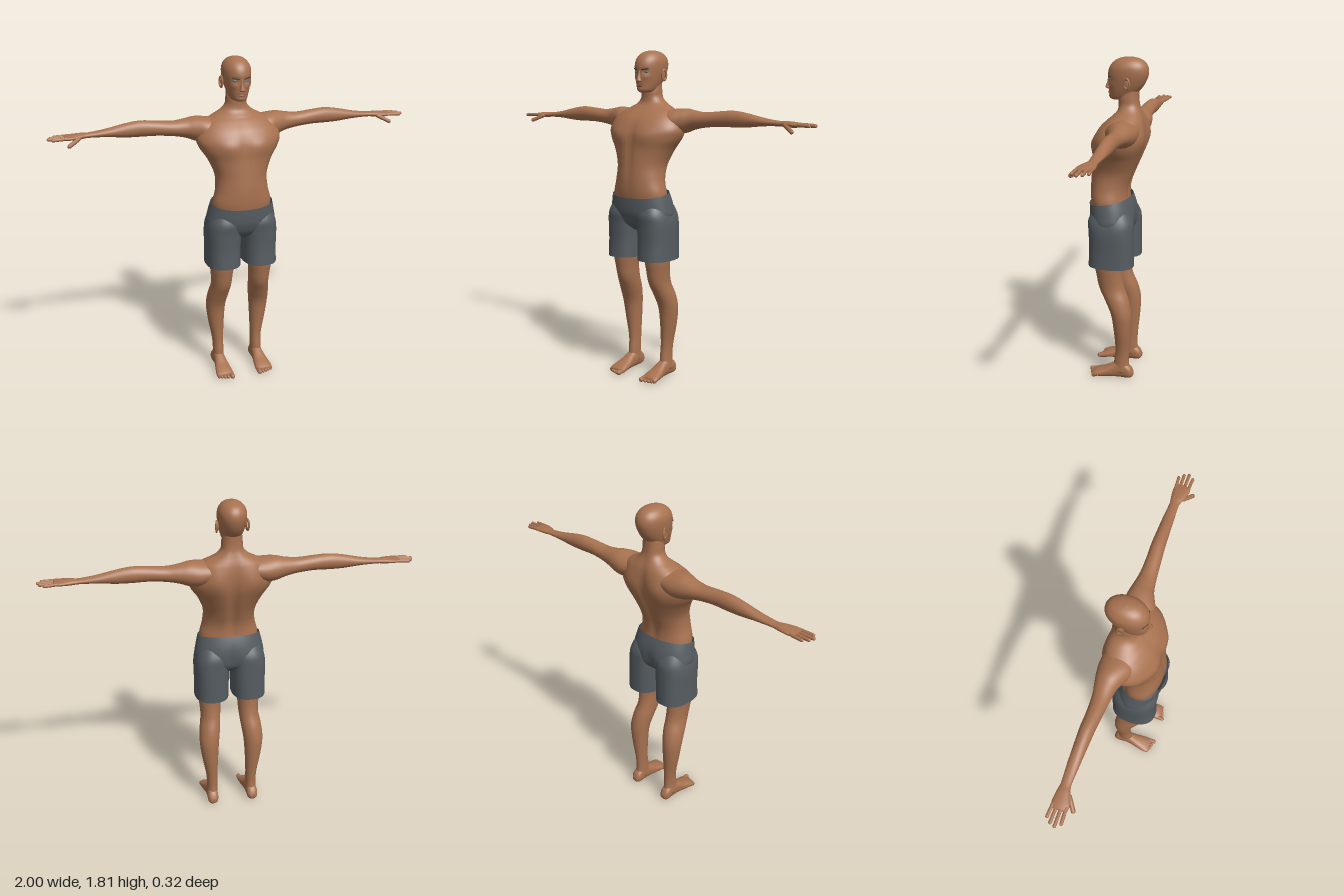
import * as THREE from 'three';

const mat = (name, color, side = THREE.FrontSide) => {
  const m = new THREE.MeshStandardMaterial({ color, side });
  m.name = name;
  return m;
};

// Smooth interpolation through one column of the ring table
const catmull = (p0, p1, p2, p3, t) => 0.5 * (2 * p1 + (p2 - p0) * t
  + (2 * p0 - 5 * p1 + 4 * p2 - p3) * t * t + (3 * p1 - p0 - 3 * p2 + p3) * t * t * t);

// Loft through rings [t, uMin, uMax, vMin, vMax] with t increasing along the axis.
// axis y: u=x v=z; axis x: u=y v=z; axis z: u=x v=y
function loft(axis, rings, { n = 32, steps = 5, p = 2, capStart = true, capEnd = true, shape = null } = {}) {
  const pos = [], idx = [];
  const put = (t, u, v) => {
    const q = axis === 'y' ? new THREE.Vector3(u, t, v)
      : axis === 'x' ? new THREE.Vector3(t, u, v) : new THREE.Vector3(u, v, t);
    if (shape) shape(q);
    pos.push(q.x, q.y, q.z);
  };
  const tri = (a, b, c) => (axis === 'y' ? idx.push(a, c, b) : idx.push(a, b, c));
  const last = rings.length - 1, rows = last * steps + 1;
  const at = k => rings[Math.min(last, Math.max(0, k))];
  const pow = c => Math.sign(c) * Math.abs(c) ** (2 / p);
  const centres = [];
  for (let i = 0; i < rows; i++) {
    const k = Math.min(last - 1, Math.floor(i / steps)), f = i / steps - k;
    const [t, u0, u1, v0, v1] = rings[0].map((_, c) => catmull(at(k - 1)[c], at(k)[c], at(k + 1)[c], at(k + 2)[c], f));
    centres.push([t, (u0 + u1) / 2, (v0 + v1) / 2]);
    for (let j = 0; j < n; j++) {
      const a = j / n * Math.PI * 2;
      put(t, (u0 + u1) / 2 + (u1 - u0) / 2 * pow(Math.cos(a)), (v0 + v1) / 2 + (v1 - v0) / 2 * pow(Math.sin(a)));
    }
  }
  for (let i = 0; i < rows - 1; i++) for (let j = 0; j < n; j++) {
    const a = i * n + j, b = i * n + (j + 1) % n;
    tri(a, b, a + n);
    tri(b, b + n, a + n);
  }
  const cap = (row, end) => {
    const c = pos.length / 3;
    put(...centres[row]);
    for (let j = 0; j < n; j++) {
      const a = row * n + j, b = row * n + (j + 1) % n;
      end ? tri(a, b, c) : tri(b, a, c);
    }
  };
  if (capStart) cap(0, false);
  if (capEnd) cap(rows - 1, true);
  const g = new THREE.BufferGeometry();
  g.setAttribute('position', new THREE.Float32BufferAttribute(pos, 3));
  g.setIndex(idx);
  g.computeVertexNormals();
  return g;
}

// Rings symmetric about x = 0: [y, halfWidth, back, front]
const sym = rows => rows.map(([y, w, b, f]) => [y, -w, w, b, f]);

// Rounded limb between two points
function digit(a, b, r, flat = 1) {
  const A = new THREE.Vector3(...a), B = new THREE.Vector3(...b), d = B.clone().sub(A);
  const g = new THREE.CapsuleGeometry(r, d.length(), 5, 12);
  g.applyQuaternion(new THREE.Quaternion().setFromUnitVectors(new THREE.Vector3(0, 1, 0), d.clone().normalize()));
  g.scale(1, flat, 1);
  return g.translate(...A.add(B).multiplyScalar(0.5).toArray());
}

const ball = (x, y, z, sx, sy, sz) => new THREE.SphereGeometry(1, 20, 14).scale(sx, sy, sz).translate(x, y, z);

function mirror(g) {
  const m = g.clone().scale(-1, 1, 1), a = m.index.array;
  for (let i = 0; i < a.length; i += 3) [a[i], a[i + 1]] = [a[i + 1], a[i]];
  return m;
}

export function createModel() {
  const model = new THREE.Group();
  model.name = 'figure';
  const skin = mat('skin', 0xa87250);
  const lip = mat('lips', 0x8f5b45);
  const brow = mat('brows', 0x4a3428);
  const iris = mat('eyes', 0x4c7384);
  const cloth = mat('shorts cloth', 0x555c61, THREE.DoubleSide);

  const add = (name, g, m) => {
    const mesh = new THREE.Mesh(g, m);
    mesh.name = name;
    model.add(mesh);
  };
  const pair = (name, g, m) => {
    add(name + 'Left', g, m);
    add(name + 'Right', mirror(g), m);
  };
  const bump = (d, w) => Math.exp(-((d / w) ** 2));

  // Torso and neck, with spine groove, shoulder blades, breastbone and chest
  add('torso', loft('y', sym([
    [0.95, 0.15, -0.08, 0.13], [1.04, 0.163, -0.06, 0.147], [1.12, 0.145, -0.063, 0.15],
    [1.2, 0.143, -0.092, 0.145], [1.28, 0.175, -0.125, 0.138], [1.34, 0.215, -0.145, 0.132],
    [1.39, 0.232, -0.152, 0.122], [1.44, 0.212, -0.15, 0.098], [1.48, 0.18, -0.143, 0.06],
    [1.505, 0.135, -0.135, 0.03], [1.53, 0.088, -0.125, 0.006], [1.56, 0.06, -0.115, 0],
    [1.6, 0.055, -0.11, 0], [1.65, 0.05, -0.11, -0.01]]), {
    n: 64, p: 2.15, shape: q => {
      const { x, y, z } = q, ax = Math.abs(x);
      if (z < -0.02) {
        q.z += 0.022 * bump(x, 0.025) * bump(y - 1.28, 0.2);
        q.z -= 0.012 * bump(ax - 0.1, 0.045) * bump(y - 1.4, 0.07);
      } else if (z > 0.03) {
        q.z -= 0.008 * bump(x, 0.02) * bump(y - 1.3, 0.18);
        q.z += 0.012 * bump(ax - 0.09, 0.06) * bump(y - 1.36, 0.045);
      }
    } }), skin);

  // Head with sunken eye sockets and cheekbones
  add('head', loft('y', sym([
    [1.588, 0.022, -0.03, 0.036], [1.598, 0.042, -0.07, 0.048], [1.63, 0.056, -0.105, 0.052],
    [1.67, 0.067, -0.138, 0.055], [1.72, 0.075, -0.158, 0.058], [1.76, 0.073, -0.156, 0.048],
    [1.79, 0.056, -0.135, 0.022], [1.806, 0.032, -0.1, -0.012], [1.812, 0.006, -0.06, -0.048]]), {
    n: 48, p: 2.1, shape: q => {
      if (q.z < 0) return;
      const ax = Math.abs(q.x);
      q.z -= 0.011 * bump(ax - 0.03, 0.016) * bump(q.y - 1.697, 0.013);
      q.z += 0.005 * bump(ax - 0.04, 0.015) * bump(q.y - 1.67, 0.014);
      q.z += 0.004 * bump(q.y - 1.602, 0.012) * bump(ax, 0.02);
    } }), skin);
  add('nose', loft('y', sym([
    [1.642, 0.01, 0.04, 0.062], [1.649, 0.016, 0.04, 0.073], [1.66, 0.012, 0.04, 0.071],
    [1.68, 0.008, 0.04, 0.064], [1.708, 0.008, 0.04, 0.058]]), { n: 16 }), skin);
  add('upperLip', ball(0, 1.629, 0.05, 0.021, 0.004, 0.008), lip);
  add('lowerLip', ball(0, 1.621, 0.049, 0.018, 0.005, 0.008), lip);
  pair('eye', ball(0.031, 1.697, 0.034, 0.014, 0.007, 0.01), iris);
  pair('brow', digit([0.016, 1.709, 0.053], [0.046, 1.714, 0.039], 0.0035), brow);

  // Ears: rim and hollow
  const rim = new THREE.TorusGeometry(0.018, 0.0055, 8, 24).scale(0.8, 1.45, 1)
    .rotateY(Math.PI / 2 - 0.35).translate(0.08, 1.68, -0.06);
  pair('earRim', rim, skin);
  pair('ear', ball(0.075, 1.68, -0.058, 0.006, 0.024, 0.015), skin);

  // Arms down to the palm
  pair('arm', loft('x', [
    [0.08, 1.4, 1.49, -0.13, 0.03], [0.17, 1.37, 1.502, -0.14, 0.035], [0.23, 1.375, 1.505, -0.135, 0.01],
    [0.28, 1.393, 1.496, -0.125, -0.01], [0.35, 1.407, 1.488, -0.112, -0.02], [0.44, 1.415, 1.495, -0.108, -0.028],
    [0.52, 1.415, 1.5, -0.11, -0.035], [0.6, 1.417, 1.49, -0.108, -0.04], [0.7, 1.427, 1.469, -0.105, -0.045],
    [0.79, 1.43, 1.457, -0.1, -0.049], [0.83, 1.427, 1.458, -0.105, -0.038], [0.88, 1.427, 1.455, -0.11, -0.022],
    [0.915, 1.431, 1.45, -0.105, -0.024]]), skin);

  // Fingers [z at knuckle, z at tip, tip x] and thumb
  [[-0.1, -0.104, 0.96], [-0.079, -0.081, 0.982], [-0.056, -0.056, 0.992], [-0.034, -0.03, 0.972]]
    .forEach(([z0, z1, x], i) =>
      pair('finger' + (i + 1), digit([0.895, 1.442, z0], [x, 1.439, z1], 0.0085), skin));
  pair('thumb', digit([0.84, 1.437, -0.04], [0.895, 1.41, -0.003], 0.011), skin);

  // Legs
  pair('leg', loft('y', [
    [0.04, 0.085, 0.15, -0.095, 0], [0.1, 0.085, 0.146, -0.085, 0], [0.18, 0.085, 0.15, -0.087, -0.008],
    [0.3, 0.08, 0.172, -0.097, 0], [0.4, 0.073, 0.184, -0.1, 0.015], [0.48, 0.062, 0.179, -0.085, 0.05],
    [0.55, 0.055, 0.168, -0.058, 0.085], [0.62, 0.05, 0.172, -0.045, 0.1], [0.7, 0.04, 0.18, -0.045, 0.112],
    [0.85, 0.025, 0.18, -0.07, 0.12]]), skin);

  // Feet and toes
  pair('foot', loft('z', [
    [-0.112, 0.103, 0.132, 0.018, 0.042], [-0.092, 0.088, 0.148, 0.002, 0.075], [-0.04, 0.085, 0.148, 0, 0.105],
    [0, 0.083, 0.15, 0, 0.088], [0.05, 0.075, 0.16, 0, 0.06], [0.1, 0.07, 0.168, 0, 0.04],
    [0.125, 0.074, 0.164, 0.002, 0.026]], { p: 2.3 }), skin);
  for (let i = 0; i < 5; i++) {
    const x = [0.083, 0.106, 0.124, 0.141, 0.156][i], r = i ? 0.0095 : 0.0135;
    pair('toe' + (i + 1), digit([x, r + 0.004, 0.1], [x, r, 0.14 - i * 0.006], r), skin);
  }

  // Shorts: seat with a waistline rising toward the back, and two open legs
  add('shortsSeat', loft('y', sym([
    [0.84, 0.05, -0.04, 0.08], [0.88, 0.165, -0.085, 0.125], [0.93, 0.193, -0.1, 0.147],
    [0.98, 0.187, -0.095, 0.154], [1.045, 0.172, -0.072, 0.156]]), {
    n: 48, p: 2.2, capEnd: false, shape: q => {
      q.y -= (q.z - 0.04) * 0.17 * THREE.MathUtils.smoothstep(q.y, 0.9, 1.045);
      if (q.z < -0.02) q.z += 0.014 * bump(q.x, 0.02) * bump(q.y - 0.92, 0.06);
    } }), cloth);
  pair('shortsLeg', loft('y', [
    [0.685, 0.01, 0.2, -0.108, 0.145], [0.78, 0.008, 0.199, -0.107, 0.14], [0.88, 0.004, 0.2, -0.105, 0.143],
    [0.94, 0.002, 0.19, -0.1, 0.146], [1.0, 0.01, 0.165, -0.07, 0.12]],
  { n: 40, p: 2.4, capStart: false }), cloth);

  return model;
}
